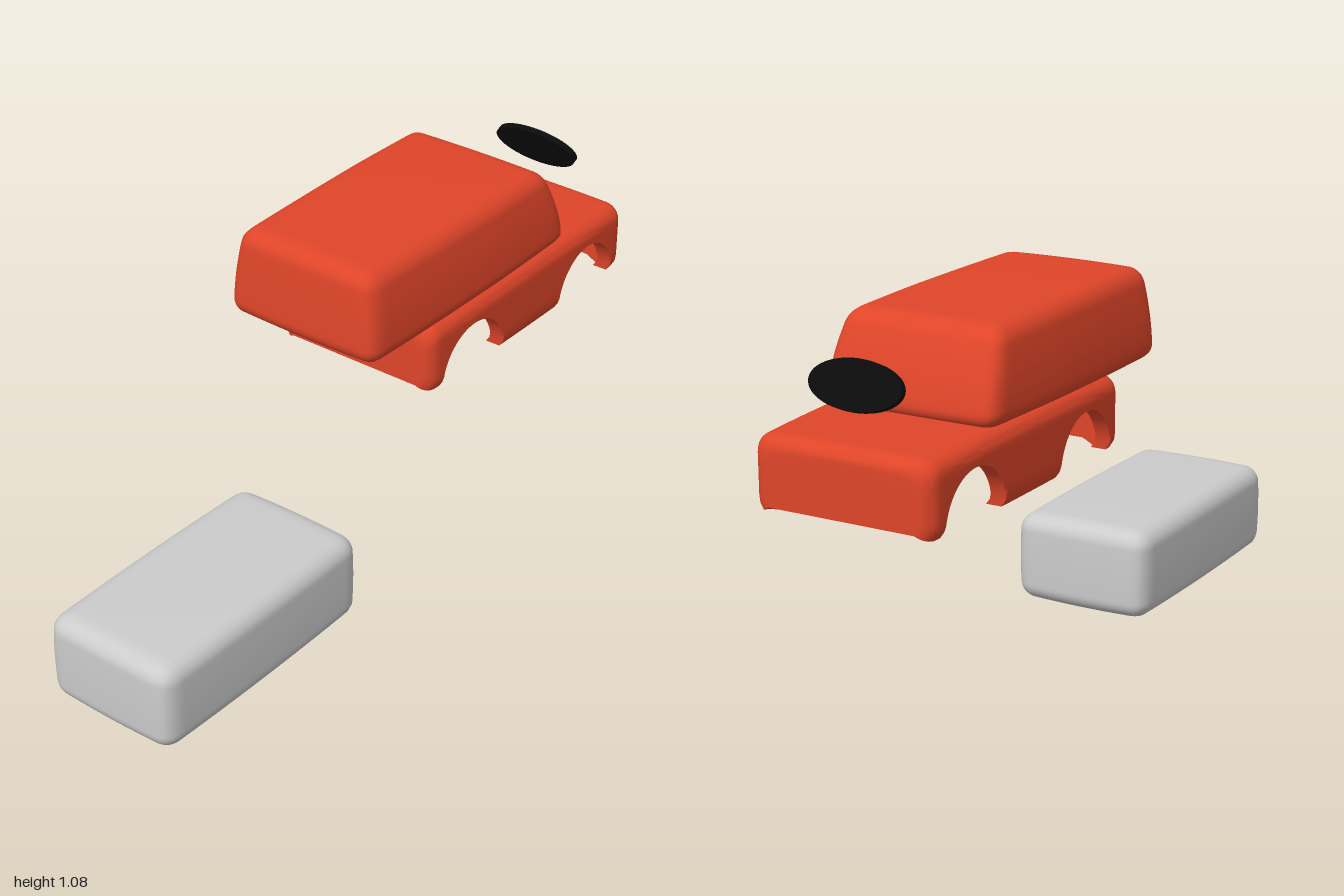
import * as THREE from 'three';
import { mergeVertices, toCreasedNormals } from 'three/addons/utils/BufferGeometryUtils.js';

const red = new THREE.MeshStandardMaterial({ color: 0xdf4529 });
const black = new THREE.MeshStandardMaterial({ color: 0x0b0b0b });
const grey = new THREE.MeshStandardMaterial({ color: 0xcccccc });

// Soft box: corners rounded by radius r, faces gently domed, then shaped by a rule.
function softBox(hx, hy, hz, r, bulge, shape = () => {}) {
  const n = 36;
  let geo = new THREE.BoxGeometry(2 * hx, 2 * hy, 2 * hz, n, n, n);
  geo.deleteAttribute('normal');
  geo.deleteAttribute('uv');
  geo = mergeVertices(geo);
  const pos = geo.attributes.position;
  const inner = new THREE.Vector3(hx - r, hy - r, hz - r);
  const p = new THREE.Vector3(), core = new THREE.Vector3();
  for (let i = 0; i < pos.count; i++) {
    p.fromBufferAttribute(pos, i);
    core.copy(p).clamp(inner.clone().negate(), inner);
    p.sub(core).setLength(r).add(core);
    const u = (p.x / hx) ** 2, v = (p.y / hy) ** 2, w = (p.z / hz) ** 2;
    p.x *= 1 - bulge * (v + w) / (2 * hx);
    p.y *= 1 - bulge * (u + w) / (2 * hy);
    p.z *= 1 - bulge * (u + v) / (2 * hz);
    shape(p);
    pos.setXYZ(i, p.x, p.y, p.z);
  }
  geo.computeVertexNormals();
  return geo;
}

// Body shell: cross-sections along x, outer skin and inner skin in one closed loop.
function bodyShell() {
  const x0 = 0.045, x1 = 1, yLow = 0.62, yTop = 0.83, halfW = 0.272, wall = 0.045, r = 0.045;
  const arches = [0.245, 0.798], archR = 0.14;
  const mid = (x0 + x1) / 2, halfL = (x1 - x0) / 2;

  // Stations: x, inset at the rounded ends, bottom edge height, width factor
  const stations = [];
  const add = (x, y = yLow, inset = 0, f = 1) => stations.push({ x, y, inset, f });
  const endCurve = (side) => {
    const out = [];
    for (let i = 0; i <= 8; i++) {
      const a = (i / 8) * Math.PI / 2;
      const x = r * (1 - Math.cos(a)), inset = r * (1 - Math.sin(a));
      out.push([side < 0 ? x0 + x : x1 - x, yLow + inset * 0.4, inset, 1]);
    }
    out.unshift([out[0][0], yLow + r * 0.4, r, 0]);
    return side < 0 ? out : out.reverse();
  };
  endCurve(-1).forEach((s) => add(...s));
  arches.forEach((c, k) => {
    for (let i = 0; i <= 28; i++) {
      const a = Math.PI * (1 - i / 28);
      if (i === 0) add(c - archR - 0.0005);
      add(c + archR * Math.cos(a), yLow + 0.145 * Math.sin(a));
      if (i === 28) add(c + archR + 0.0005);
    }
    if (k === 0) for (let i = 1; i < 6; i++) add(c + archR + i * 0.0455);
  });
  endCurve(1).forEach((s) => add(...s));

  // One skin of a section, from the bottom of +z over the roof to the bottom of -z
  const skin = (s, t, rc) => {
    const bow = ((s.x - mid) / halfL) ** 2;
    const w = halfW - t - s.inset - 0.008 * bow, top = yTop - t - s.inset * 0.8 - 0.008 * bow;
    const half = [];
    for (let i = 0; i < 8; i++) {
      const y = THREE.MathUtils.lerp(s.y, Math.max(top - rc, s.y), i / 8);
      const d = Math.max(0, 1 - (y - yLow) / 0.035);
      half.push([w - 0.016 * d * d, y]);
    }
    const base = Math.max(top - rc, s.y);
    for (let i = 0; i <= 8; i++) {
      const a = (i / 8) * Math.PI / 2;
      half.push([w - rc * (1 - Math.cos(a)), base + (top - base) * Math.sin(a)]);
    }
    half.push([w * 0.5, top + 0.002], [0, top + 0.003]);
    const x = t ? THREE.MathUtils.clamp(s.x, x0 + wall, x1 - wall) : s.x;
    const full = half.concat(half.slice(0, -1).reverse().map(([z, y]) => [-z, y]));
    return full.map(([z, y]) => [x, y, z * s.f]);
  };

  const verts = [], index = [];
  let n = 0;
  stations.forEach((s) => {
    const loop = skin(s, 0, r).concat(skin(s, wall, 0.025).reverse());
    n = loop.length;
    loop.forEach((p) => verts.push(...p));
  });
  for (let i = 0; i < stations.length - 1; i++) {
    for (let j = 0; j < n; j++) {
      const a = i * n + j, b = i * n + (j + 1) % n, c = a + n, d = b + n;
      index.push(a, c, b, b, c, d);
    }
  }
  const geo = new THREE.BufferGeometry();
  geo.setAttribute('position', new THREE.Float32BufferAttribute(verts, 3));
  geo.setIndex(index);
  return toCreasedNormals(geo, 0.7);
}

export function createModel() {
  const model = new THREE.Group();
  const part = (name, geo, mat, x = 0, y = 0, z = 0) => {
    const mesh = new THREE.Mesh(geo, mat);
    mesh.name = name;
    mesh.position.set(x, y, z);
    model.add(mesh);
    return mesh;
  };

  // Plain rounded block standing on the ground
  part('roundedBlock', softBox(0.405, 0.1375, 0.218, 0.05, 0.008), grey, -0.595, 0.1375);

  // Cabin: tapers upward, raked windscreen end, slightly narrower at the rear
  const cabin = softBox(0.455, 0.133, 0.266, 0.045, 0.007, (p) => {
    const up = (p.y + 0.133) / 0.266;
    const along = (p.x + 0.455) / 0.91;
    p.z *= (1 - 0.12 * up ** 1.7) * (0.965 + 0.035 * Math.min(1, along * 1.6));
    p.x += along > 0.5 ? -0.09 * up ** 1.5 * (along - 0.5) * 2 : 0.02 * up * (0.5 - along) * 2;
    p.y += 0.012 * (along - 0.4) * (1 - up);
  });
  part('cabin', cabin, red, 0.256, 0.942);

  // Lower body with wheel arches, open underneath
  part('lowerBody', bodyShell(), red);

  // Thin tilted oval disc
  const disc = part('ovalDisc', new THREE.CylinderGeometry(1, 1, 0.018, 48), black, 0.915, 0.963);
  disc.scale.set(0.066, 1, 0.137);
  disc.rotation.z = -1.14;

  return model;
}
